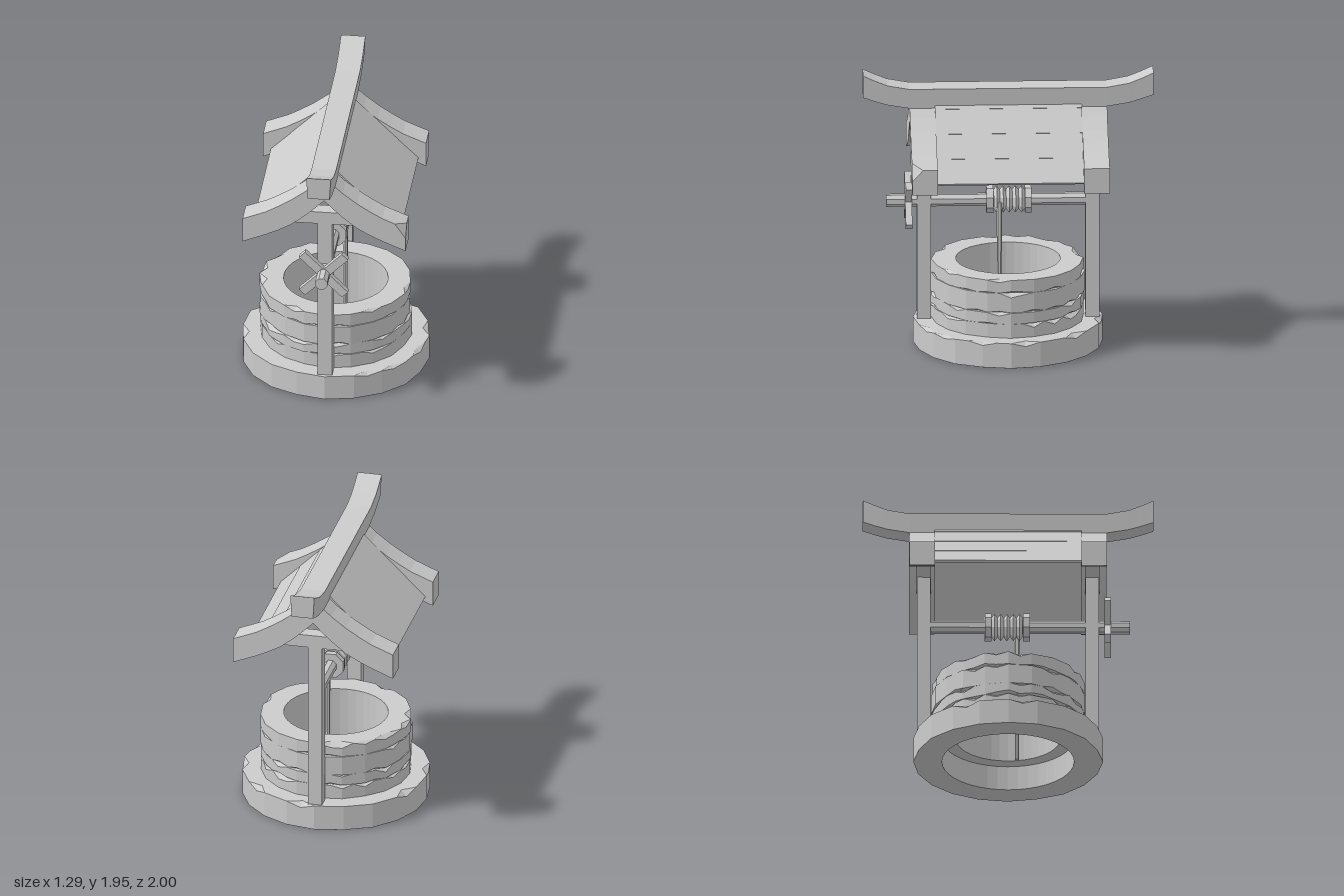
import * as THREE from 'three';

const material = new THREE.MeshStandardMaterial({ color: 0xcccccc, flatShading: true });

function add(parent, name, geometry, x = 0, y = 0, z = 0) {
  const mesh = new THREE.Mesh(geometry, material);
  mesh.name = name;
  mesh.position.set(x, y, z);
  parent.add(mesh);
  return mesh;
}

function seeded(seed) {
  return () => (seed = (seed * 16807) % 2147483647) / 2147483647;
}

// Skins a row of equal-length cross-sections; open rows get end caps.
function loft(sections, closed = false) {
  const out = [];
  const tri = (a, b, c) => out.push(...a, ...b, ...c);
  const n = sections.length, m = sections[0].length;
  for (let i = 0; i < (closed ? n : n - 1); i++) {
    const s = sections[i], t = sections[(i + 1) % n];
    for (let j = 0; j < m; j++) {
      const k = (j + 1) % m;
      tri(s[j], t[j], t[k]);
      tri(s[j], t[k], s[k]);
    }
  }
  if (!closed) {
    const s = sections[0], t = sections[n - 1];
    for (let j = 1; j < m - 1; j++) {
      tri(s[0], s[j], s[j + 1]);
      tri(t[0], t[j + 1], t[j]);
    }
  }
  const geometry = new THREE.BufferGeometry();
  geometry.setAttribute('position', new THREE.Float32BufferAttribute(out, 3));
  geometry.computeVertexNormals();
  return geometry;
}

// Ring of rough stone: uneven outer facets, with random chips along the edges.
function stoneRing(inner, outer, y0, y1, seed, chipBottom) {
  const random = seeded(seed), sides = 20, n = sides * 2;
  const radii = Array.from({ length: sides }, () => outer - random() * 0.015);
  const sections = [];
  for (let i = 0; i < n; i++) {
    const a = (i / n) * Math.PI * 2, half = i >> 1;
    const r = i % 2
      ? (radii[half] + radii[(half + 1) % sides]) / 2 * Math.cos(Math.PI / sides)
      : radii[half];
    const chip = () => (random() < 0.25 ? 0.015 + random() * 0.02 : 0.001);
    const top = chip(), bottom = chipBottom ? chip() * 0.6 : 0.001;
    const profile = [
      [inner, y0], [r - bottom * 1.5, y0], [r, y0 + bottom],
      [r, y1 - top], [r - top * 1.5, y1], [inner, y1],
    ];
    sections.push(profile.map(([q, y]) => [q * Math.sin(a), y, q * Math.cos(a)]));
  }
  return loft(sections, true);
}

// Curved gable rafter: [x, underside, top] along one half, mirrored.
function rafter(chipped) {
  const half = [
    [0.07, 1.52, 1.71], [0.13, 1.465, 1.655], [0.23, 1.385, 1.58], [0.32, 1.335, 1.523],
    [0.405, 1.295, 1.475], [0.49, 1.26, 1.44], [0.565, 1.23, 1.41],
  ];
  const stations = [
    ...half.map(([x, b, t]) => [-x, b, t]).reverse(), [0, 1.59, 1.71], ...half,
  ];
  const w = 0.088;
  const sections = stations.map(([x, b, t]) =>
    [[x, b, w], [x, t, w], [x, t, w], [x, t, -w], [x, b, -w]]);
  if (chipped) {
    const end = sections[sections.length - 1];
    end[1][1] -= 0.08;
    end[2][2] -= 0.075;
  }
  return loft(sections);
}

export function createModel() {
  const model = new THREE.Group();
  model.name = 'well';

  // Stonework
  const wall = new THREE.Group();
  wall.name = 'stoneWall';
  model.add(wall);
  add(wall, 'baseRing', stoneRing(0.455, 0.655, 0, 0.18, 11, false));
  [[0.175, 0.28], [0.28, 0.36], [0.36, 0.5], [0.5, 0.595]].forEach(([y0, y1], i) =>
    add(wall, 'wallCourse', stoneRing(0.36, 0.53, y0, y1, 101 + i * 977, i > 0)));

  // Posts, cross beams and rafters at both ends
  for (const s of [1, -1]) {
    add(model, 'post', new THREE.BoxGeometry(0.1, 1.23, 0.095), 0, 0.785, s * 0.58);
    add(model, 'crossBeam', new THREE.BoxGeometry(0.5, 0.092, 0.1), 0, 1.424, s * 0.58);
    add(model, 'rafter', rafter(s > 0), 0, 0, s * 0.592);
  }

  // Roof planks, each tilted a little to lap over the next
  for (const s of [1, -1]) {
    for (let i = 0; i < 4; i++) {
      const x = 0.433 - i * 0.138;
      const plank = add(model, 'roofPlank', new THREE.BoxGeometry(0.2, 0.02, 1.01),
        s * x, 1.355 + i * 0.137, 0);
      plank.rotation.z = -s * 0.77;
    }
  }

  // Ridge beam with upswept ends: [z, underside, top]
  const end = [[0.68, 1.705, 1.845], [0.83, 1.73, 1.872], [0.92, 1.757, 1.908], [1, 1.785, 1.945]];
  const ridge = [...end.map(([z, b, t]) => [-z, b, t]).reverse(), ...end];
  add(model, 'ridgeBeam', loft(ridge.map(([z, b, t]) =>
    [[-0.076, b, z], [-0.085, t, z], [0.085, t, z], [0.076, b, z]])));

  // Windlass along z
  const windlass = new THREE.Group();
  windlass.name = 'windlass';
  windlass.position.y = 1.02;
  model.add(windlass);
  const rod = (name, r, z0, z1) => {
    const g = new THREE.CylinderGeometry(r, r, z1 - z0, 8).rotateY(Math.PI / 8).rotateX(Math.PI / 2);
    add(windlass, name, g, 0, 0, (z0 + z1) / 2);
  };
  rod('axle', 0.045, -0.54, 0.84);
  rod('collar', 0.096, 0.103, 0.15);
  rod('collar', 0.096, -0.16, -0.115);
  for (const s of [1, -1]) {
    const bar = add(windlass, 'handleBar', new THREE.BoxGeometry(0.42, 0.06, 0.046), 0, 0, 0.687);
    bar.rotation.z = s * Math.PI / 4;
  }

  // Rope wound in ridges on the axle, with a tapering end hanging into the well
  const coil = [];
  for (let i = 0; i <= 10; i++) coil.push(new THREE.Vector2(i % 2 ? 0.094 : 0.066, -0.115 + i * 0.0215));
  add(windlass, 'ropeCoil', new THREE.LatheGeometry(coil, 8).rotateY(Math.PI / 8).rotateX(Math.PI / 2));
  add(model, 'hangingRope', new THREE.CylinderGeometry(0.02, 0.013, 0.97, 6), 0.073, 0.535, 0.062);

  return model;
}
